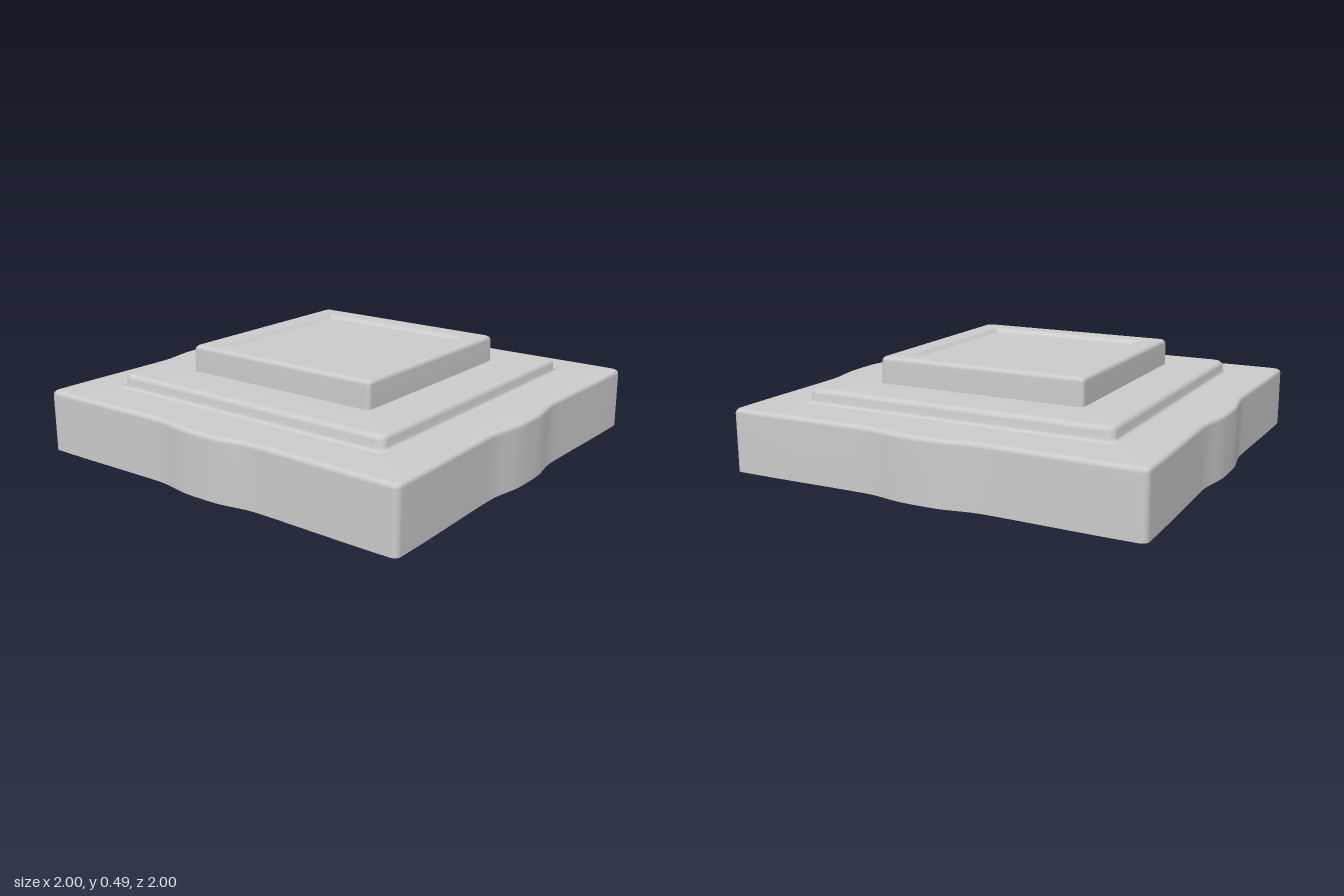
import * as THREE from 'three';

const SIDE = 40, ARC = 5; // points along each straight side and each corner

// Gentle swell in the middle of each side, with a slight waist beside it
function sideWave(t) {
  const s = Math.abs(t);
  const swell = 1 - THREE.MathUtils.smoothstep(s, 0.06, 0.28);
  const waist = 1 - THREE.MathUtils.smoothstep(s, 0.25, 0.9);
  return 0.03 * swell - 0.01 * waist + 0.0;
}

// Rounded square ring, running anticlockwise seen from above
function ring([half, y, radius, wave = 0]) {
  const points = [], flat = half - radius;
  for (let q = 0; q < 4; q++) {
    const side = [];
    for (let i = 0; i <= SIDE; i++) {
      const t = flat * (2 * i / SIDE - 1);
      side.push([half + wave * sideWave(t), t]);
    }
    for (let i = 1; i < ARC; i++) {
      const a = (i / ARC) * Math.PI / 2;
      side.push([flat + radius * Math.cos(a), flat + radius * Math.sin(a)]);
    }
    const c = Math.round(Math.cos(q * Math.PI / 2)), s = Math.round(Math.sin(q * Math.PI / 2));
    for (const [u, v] of side) points.push([u * c - v * s, y, -(u * s + v * c)]);
  }
  return points;
}

// Skin a stack of rings; optionally close the last one with a flat cap
function loft(name, profile, material, capped = false) {
  const rings = profile.map(ring), n = rings[0].length, index = [];
  const position = rings.flat(2);
  for (let i = 0; i < rings.length - 1; i++) {
    for (let j = 0; j < n; j++) {
      const a = i * n + j, b = i * n + (j + 1) % n;
      index.push(a, b, b + n, a, b + n, a + n);
    }
  }
  if (capped) {
    const start = (rings.length - 1) * n, centre = rings.length * n;
    position.push(0, profile.at(-1)[1], 0);
    for (let j = 0; j < n; j++) index.push(start + j, start + (j + 1) % n, centre);
  }
  const geometry = new THREE.BufferGeometry();
  geometry.setAttribute('position', new THREE.Float32BufferAttribute(position, 3));
  geometry.setIndex(index);
  geometry.computeVertexNormals();
  const mesh = new THREE.Mesh(geometry, material);
  mesh.name = name;
  return mesh;
}

export function createModel() {
  const material = new THREE.MeshStandardMaterial({ color: 0xcccccc, side: THREE.DoubleSide });
  const group = new THREE.Group();
  group.name = 'steppedPlinth';

  // Each profile row: half width, height, corner radius, side wave
  group.add(loft('baseSlab', [
    [0.98, 0, 0.03, 1], [0.98, 0.27, 0.03, 1], [0.977, 0.281, 0.03, 1],
    [0.97, 0.288, 0.03, 1], [0.955, 0.292, 0.03, 1], [0.765, 0.295, 0.04],
  ], material));

  group.add(loft('middleStep', [
    [0.765, 0.295, 0.04], [0.75, 0.299, 0.04], [0.743, 0.308, 0.04], [0.742, 0.335, 0.04],
    [0.737, 0.347, 0.04], [0.728, 0.355, 0.035], [0.712, 0.359, 0.03], [0.51, 0.36, 0.02],
  ], material));

  // Top block with a shallow sunken panel
  group.add(loft('topBlock', [
    [0.51, 0.36, 0.02], [0.508, 0.465, 0.02], [0.505, 0.476, 0.02],
    [0.496, 0.483, 0.02], [0.485, 0.485, 0.02], [0.405, 0.485, 0.01],
    [0.398, 0.482, 0.01], [0.388, 0.469, 0.01], [0.38, 0.466, 0.01],
  ], material, true));

  return group;
}
